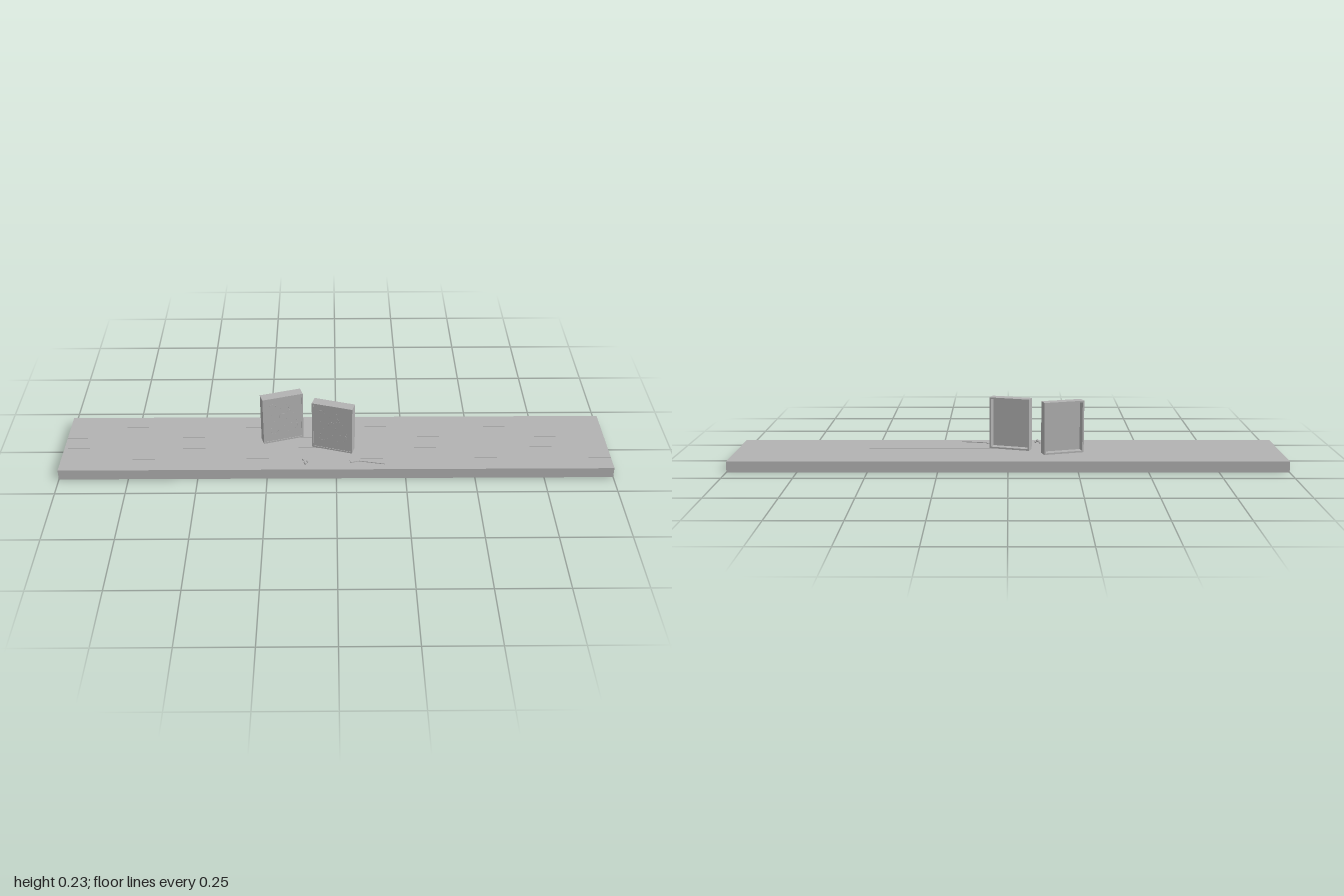
import * as THREE from 'three';

export function createModel() {
  const model = new THREE.Group();
  const grey = new THREE.MeshStandardMaterial({ color: 0xb2b2b2 });
  grey.name = 'plain grey';

  const add = (parent, name, geometry, x = 0, y = 0, z = 0) => {
    const mesh = new THREE.Mesh(geometry, grey);
    mesh.name = name;
    mesh.position.set(x, y, z);
    parent.add(mesh);
    return mesh;
  };
  const box = (parent, name, w, h, d, x, y, z) =>
    add(parent, name, new THREE.BoxGeometry(w, h, d), x, y, z);

  // Five long floor planks with hairline gaps
  const deck = 0.04;
  for (let i = -2; i <= 2; i++) {
    box(model, 'plank', 2, deck, 0.0662, 0, deck / 2, i * 0.0668);
  }

  // Upright shallow trays: a rim around a panel near the front, open at the back
  const W = 0.152, H = 0.192, D = 0.037, rim = 0.006;
  const rect = (Path, w, h) => new Path([
    new THREE.Vector2(-w / 2, -h / 2), new THREE.Vector2(w / 2, -h / 2),
    new THREE.Vector2(w / 2, h / 2), new THREE.Vector2(-w / 2, h / 2),
  ]);
  const frameShape = rect(THREE.Shape, W, H);
  frameShape.holes.push(rect(THREE.Path, W - 2 * rim, H - 2 * rim));
  const frameGeometry = new THREE.ExtrudeGeometry(frameShape, { depth: D, bevelEnabled: false });
  frameGeometry.translate(0, 0, -D / 2);

  // Small raised curls and specks on the front panel
  const curls = [[-0.04, 0.055, 0.4], [0.035, 0.045, 2.2], [0, 0.01, 1.2],
    [-0.035, -0.045, 3.6], [0.04, -0.035, 5]];
  const curlGeometry = new THREE.TorusGeometry(0.014, 0.0007, 4, 10, 2.2);
  const speckGeometry = new THREE.SphereGeometry(0.0014, 6, 4);

  const makeTray = (x, z, angle) => {
    const tray = new THREE.Group();
    tray.name = 'uprightTray';
    tray.position.set(x, deck + H / 2, z);
    tray.rotation.y = angle;
    add(tray, 'rim', frameGeometry);
    const face = D / 2 - 0.002;
    box(tray, 'frontPanel', W - 2 * rim, H - 2 * rim, 0.007, 0, 0, face - 0.0035);
    curls.forEach(([cx, cy, turn]) => {
      add(tray, 'curl', curlGeometry, cx, cy, face).rotation.z = turn;
    });
    for (let i = 0; i < 14; i++) {
      const a = i * 2.4, r = 0.017 * Math.sqrt(i + 1);
      add(tray, 'speck', speckGeometry, Math.cos(a) * r * 0.85, Math.sin(a) * r * 1.1, face);
    }
    model.add(tray);
  };
  makeTray(-0.199, -0.032, 0.297);
  makeTray(-0.01, 0.031, -0.297);

  // Small loose pieces lying on the deck in front
  const rod = box(model, 'looseRod', 0.11, 0.003, 0.003, 0.12, deck + 0.0015, 0.125);
  rod.rotation.y = -0.2;
  const plate = box(model, 'loosePlate', 0.032, 0.003, 0.018, 0.065, deck + 0.0015, 0.115);
  plate.rotation.y = 0.3;
  [[-0.12, 0.11, 0.004], [-0.112, 0.134, 0.006], [-0.104, 0.122, 0.004]].forEach(([x, z, r]) =>
    add(model, 'pebble', new THREE.SphereGeometry(r, 10, 6), x, deck + r * 0.9, z));

  return model;
}
